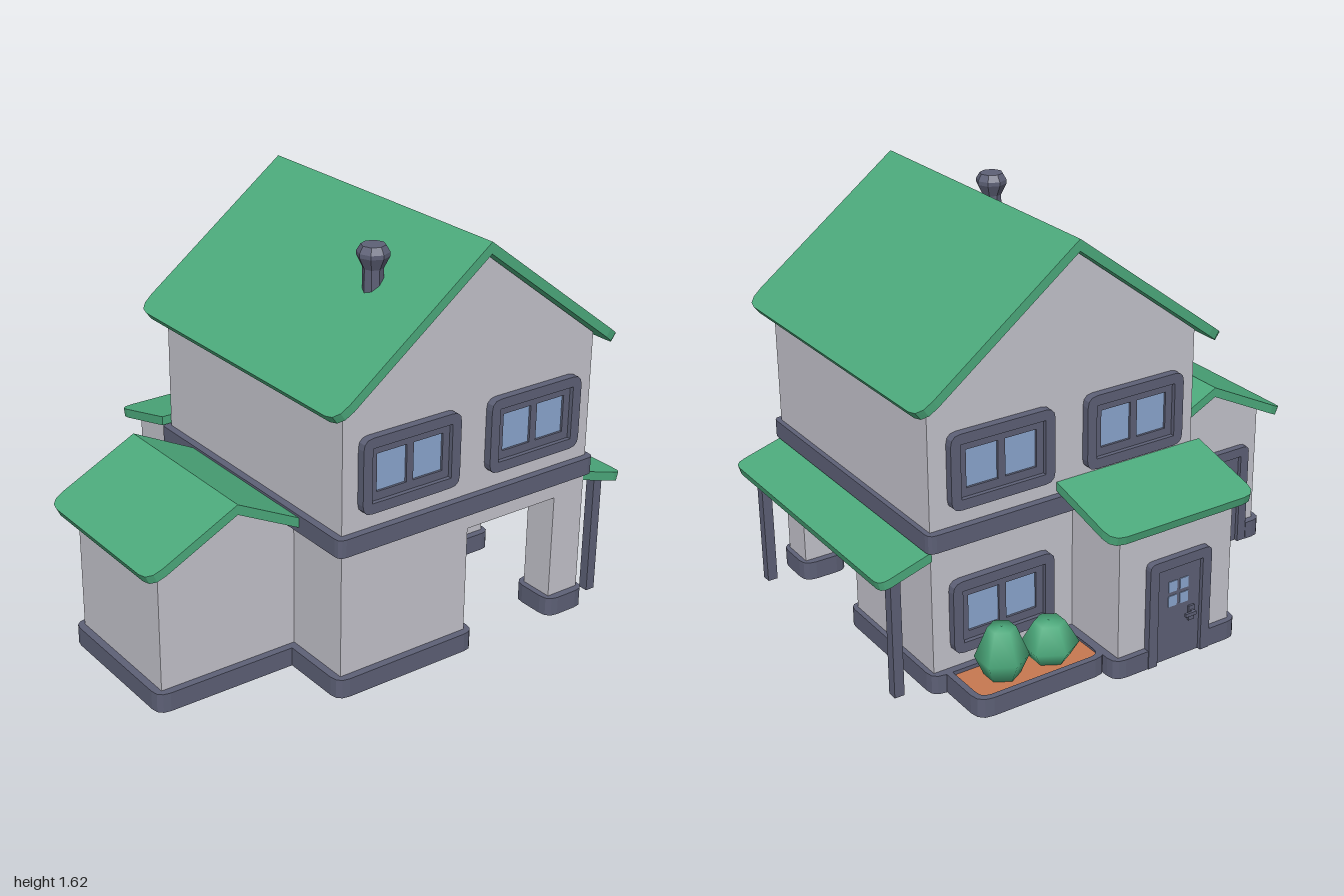
import * as THREE from 'three';

const mat = (name, color) => {
  const m = new THREE.MeshStandardMaterial({ color });
  m.name = name;
  return m;
};

export function createModel() {
  const house = new THREE.Group();
  house.name = 'house';
  const wall = mat('wall grey', 0xc4c3cc);
  const trim = mat('slate trim', 0x5d6076);
  const green = mat('roof green', 0x4caa7c);
  const glass = mat('window blue', 0x8ba6cf);
  const soil = mat('soil brown', 0xc67850);

  const add = (parent, name, geo, material, x = 0, y = 0, z = 0) => {
    const m = new THREE.Mesh(geo, material);
    m.name = name;
    m.position.set(x, y, z);
    parent.add(m);
    return m;
  };
  const group = (name, x, y, z, turn) => {
    const g = new THREE.Group();
    g.name = name;
    g.position.set(x, y, z);
    g.rotation.y = turn;
    house.add(g);
    return g;
  };
  const box = (parent, name, w, h, d, material, x, y, z) =>
    add(parent, name, new THREE.BoxGeometry(w, h, d), material, x, y, z);

  // Outline from [x, y, cut] corners; a cut softens the corner with two facets
  const outline = (pts, Type = THREE.Shape) => {
    const out = [];
    pts.forEach(([x, y, r = 0], i) => {
      const p = new THREE.Vector2(x, y);
      if (!r) return out.push(p);
      const toward = (q) => new THREE.Vector2(q[0], q[1]).sub(p).setLength(r).add(p);
      const a = toward(pts[(i + pts.length - 1) % pts.length]);
      const b = toward(pts[(i + 1) % pts.length]);
      out.push(...new THREE.QuadraticBezierCurve(a, p, b).getPoints(3));
    });
    return new Type(out);
  };
  const rect = (x0, y0, x1, y1, r = 0) => [[x0, y0, r], [x1, y0, r], [x1, y1, r], [x0, y1, r]];
  const extrude = (shape, depth) =>
    new THREE.ExtrudeGeometry(shape, { depth, bevelEnabled: false });
  // Plan given in (x, z), raised along y
  const plan = (pts, height, hole) => {
    const flip = (list) => list.map(([x, z, r]) => [x, -z, r]);
    const s = outline(flip(pts));
    if (hole) s.holes.push(outline(flip(hole), THREE.Path));
    return extrude(s, height).rotateX(-Math.PI / 2);
  };

  // Walls
  add(house, 'lowerWalls', plan([[-0.35, -0.43], [0.79, -0.43], [0.79, 0.13],
    [0.22, 0.13], [0.22, 0.7], [-0.35, 0.7]], 0.49), wall, 0, 0.01, 0);
  add(house, 'upperWalls', extrude(outline([[-0.35, 0.5], [0.79, 0.5], [0.79, 1.14],
    [0.22, 1.575], [-0.35, 1.14]]), 1.13), wall, 0, 0, -0.43);
  add(house, 'garageWalls', extrude(outline([[-0.92, 0.01], [-0.35, 0.01], [-0.35, 0.573],
    [-0.635, 0.715], [-0.92, 0.573]]), 0.56), wall, 0, 0, -0.15);
  add(house, 'rearWalls', extrude(outline([[0.43, 0.01], [0.72, 0.01], [0.72, 0.575],
    [0.43, 0.645]]), 0.51).rotateY(Math.PI / 2), wall, -0.32, 0, 0);
  box(house, 'porchPillar', 0.145, 0.49, 0.14, wall, 0.7175, 0.255, 0.63);

  // Plinth with gaps at the three doors, and the band between floors
  add(house, 'plinth', plan([
    [-0.38, 0.73, 0.05], [0.25, 0.73, 0.05], [0.25, 0.56], [0.22, 0.56], [0.22, 0.28],
    [0.25, 0.28], [0.25, 0.16], [0.81, 0.16, 0.04], [0.81, -0.46, 0.05], [0.22, -0.46],
    [0.22, -0.745, 0.05], [0.07, -0.745], [0.07, -0.72], [-0.21, -0.72], [-0.21, -0.745],
    [-0.35, -0.745, 0.05], [-0.35, -0.46], [-0.38, -0.46], [-0.38, -0.18], [-0.405, -0.18],
    [-0.405, -0.15], [-0.865, -0.15], [-0.865, -0.18], [-0.95, -0.18, 0.05],
    [-0.95, 0.44, 0.05], [-0.38, 0.44]], 0.075), trim);
  add(house, 'pillarFoot', plan(rect(0.62, 0.53, 0.81, 0.73, 0.05), 0.075), trim);
  add(house, 'floorBand', plan(rect(-0.38, -0.46, 0.81, 0.73, 0.03), 0.07), trim, 0, 0.572, 0);

  // Roof slab running from its high edge (x = 0) down along +x, soft outer corners
  const slab = (name, len, width, slope, x, y, z, turn, cut = 0.06) => {
    const h = width / 2;
    const geo = plan([[0, -h], [len, -h, cut], [len, h, cut], [0, h]], 1);
    const thick = 0.035 * Math.hypot(1, slope);
    const inset = 0.035 * slope / Math.hypot(1, slope) / len;
    const p = geo.attributes.position;
    for (let i = 0; i < p.count; i++) {
      const low = p.getY(i) < 0.5;
      const u = p.getX(i) * (low ? 1 - inset : 1);
      p.setXYZ(i, u, -slope * u - (low ? thick : 0), p.getZ(i));
    }
    geo.computeVertexNormals();
    add(house, name, geo, green, x, y, z).rotation.y = turn;
  };
  slab('mainRoofLeft', 0.648, 1.28, 0.76, 0.22, 1.62, 0.13, 0);
  slab('mainRoofRight', 0.652, 1.28, 0.76, 0.22, 1.62, 0.13, Math.PI);
  slab('garageRoofInner', 0.28, 0.71, 0.5, -0.635, 0.76, 0.13, 0, 0);
  slab('garageRoofOuter', 0.365, 0.71, 0.5, -0.635, 0.76, 0.13, Math.PI);
  slab('porchRoof', 0.21, 1.14, 0.3, 0.79, 0.57, 0.13, 0, 0.04);
  slab('rearRoof', 0.345, 0.65, 0.25, -0.065, 0.688, -0.43, Math.PI / 2);
  for (const z of [0.64, -0.37]) box(house, 'porchPost', 0.04, 0.5, 0.04, trim, 0.91, 0.25, z);

  // Windows: outer frame, recessed sash and two panes
  const window = (x, y, z, turn) => {
    const g = group('window', x, y, z, turn);
    const frame = outline(rect(-0.215, -0.145, 0.215, 0.145, 0.04));
    frame.holes.push(outline(rect(-0.175, -0.105, 0.175, 0.105), THREE.Path));
    add(g, 'windowFrame', extrude(frame, 0.032), trim);
    const sash = outline(rect(-0.175, -0.105, 0.175, 0.105));
    for (const s of [-0.08, 0.08]) {
      sash.holes.push(outline(rect(s - 0.065, -0.073, s + 0.065, 0.073), THREE.Path));
      box(g, 'windowPane', 0.13, 0.146, 0.006, glass, s, 0, 0.003);
    }
    add(g, 'windowSash', extrude(sash, 0.015), trim);
  };
  for (const x of [-0.068, 0.502]) {
    window(x, 0.855, 0.7, 0);
    window(x, 0.855, -0.43, Math.PI);
  }
  window(0.505, 0.285, -0.43, Math.PI);

  // Doors: surround with cut top corners and a recessed panel
  const door = (name, w, x, z, turn) => {
    const g = group(name, x, 0, z, turn);
    const o = w / 2, i = o - 0.04;
    add(g, 'doorFrame', extrude(outline([[-o, 0], [-i, 0], [-i, 0.39], [i, 0.39], [i, 0],
      [o, 0], [o, 0.43, 0.025], [-o, 0.43, 0.025]]), 0.028), trim);
    box(g, 'doorPanel', 2 * i, 0.39, 0.012, trim, 0, 0.195, 0.006);
    return g;
  };
  const handle = (g) => {
    box(g, 'handlePlate', 0.026, 0.06, 0.008, trim, 0.06, 0.17, 0.016);
    box(g, 'handleStem', 0.012, 0.014, 0.02, trim, 0.06, 0.176, 0.025);
    box(g, 'handleBar', 0.048, 0.014, 0.01, trim, 0.044, 0.176, 0.034);
  };
  handle(door('frontDoor', 0.28, 0.22, 0.42, Math.PI / 2));
  const back = door('rearDoor', 0.28, -0.07, -0.72, Math.PI);
  handle(back);
  for (const px of [-0.026, 0.026]) for (const py of [0.245, 0.305])
    box(back, 'doorPane', 0.038, 0.044, 0.004, glass, px, py, 0.013);
  const garage = door('garageDoor', 0.46, -0.635, -0.15, Math.PI);
  box(garage, 'garageWindow', 0.24, 0.05, 0.004, glass, 0, 0.312, 0.013);
  box(garage, 'garageHandle', 0.08, 0.016, 0.014, trim, 0, 0.085, 0.019);

  // Planter with soil and two bushes
  add(house, 'planterRim', plan(rect(0.2, -0.68, 0.755, -0.4, 0.06), 0.075,
    rect(0.225, -0.655, 0.73, -0.425, 0.04)), trim);
  add(house, 'planterSoil', plan(rect(0.21, -0.66, 0.735, -0.42, 0.04), 0.06), soil);
  const bush = (x, r, h) => {
    const pts = [[0, 0], [0.65 * r, 0], [r, 0.4 * h], [0.52 * r, h], [0, h]];
    add(house, 'bush', new THREE.LatheGeometry(
      pts.map(([a, b]) => new THREE.Vector2(a, b)), 6), green, x, 0.058, -0.545);
  };
  bush(0.575, 0.1, 0.195);
  bush(0.37, 0.11, 0.15);

  // Chimney pipe with a flared cap
  const pipe = [[0.038, 1.3], [0.038, 1.485], [0.06, 1.53], [0.06, 1.545], [0.045, 1.57], [0, 1.57]];
  const chimney = new THREE.LatheGeometry(pipe.map(([a, b]) => new THREE.Vector2(a, b)), 8)
    .toNonIndexed();
  chimney.computeVertexNormals();
  add(house, 'chimney', chimney, trim, -0.033, 0, 0.44);

  return house;
}
